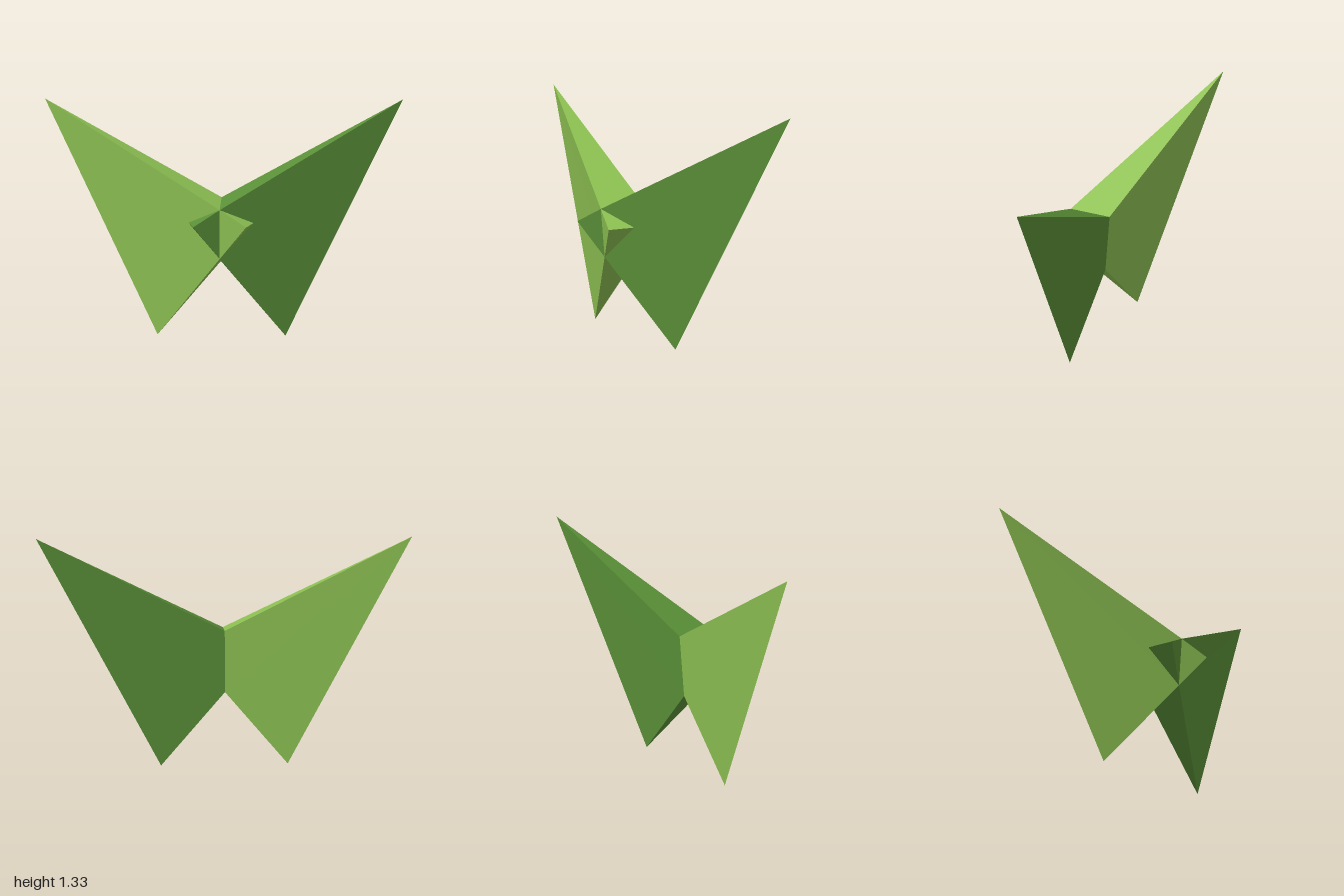
import * as THREE from 'three';

const V = (x, y, z) => new THREE.Vector3(x, y, z);

// Flat-faced solid from planar polygons, each turned to face away from the middle
function facetedMesh(name, polygons, material) {
  const corners = [...new Set(polygons.flat())];
  const middle = corners.reduce((sum, p) => sum.add(p), V(0, 0, 0)).divideScalar(corners.length);
  const points = [];
  for (const poly of polygons) {
    for (let i = 1; i < poly.length - 1; i++) {
      const [a, b, c] = [poly[0], poly[i], poly[i + 1]];
      const normal = b.clone().sub(a).cross(c.clone().sub(a));
      const outward = normal.dot(a.clone().sub(middle)) > 0;
      points.push(a, ...(outward ? [b, c] : [c, b]));
    }
  }
  const geometry = new THREE.BufferGeometry().setFromPoints(points);
  geometry.computeVertexNormals();
  const mesh = new THREE.Mesh(geometry, material);
  mesh.name = name;
  return mesh;
}

export function createModel() {
  const lightGreen = new THREE.MeshStandardMaterial({ color: 0x8dc152, flatShading: true });
  lightGreen.name = 'light green';
  const darkGreen = new THREE.MeshStandardMaterial({ color: 0x5a9038, flatShading: true });
  darkGreen.name = 'dark green';

  // Corners of the central seam shared by all parts
  const frontTop = V(0.06, 0.76, 0.24);
  const frontBottom = V(0.055, 0.485, 0.215);
  const backTop = V(0.02, 0.79, -0.02);
  const backBottom = V(0.022, 0.43, 0.01);

  // Wing: a wedge from the seam to an edge between an upper and a lower tip
  const wing = (name, upper, lower, material) => facetedMesh(name, [
    [upper, frontTop, frontBottom, lower],
    [upper, backTop, backBottom, lower],
    [upper, frontTop, backTop],
    [lower, frontBottom, backBottom],
  ], material);

  // Small fin: a tetrahedron on the front edge of the seam
  const fin = (name, front, back, material) => facetedMesh(name, [
    [frontTop, front, back],
    [frontBottom, front, back],
    [frontTop, frontBottom, front],
    [frontTop, frontBottom, back],
  ], material);

  const model = new THREE.Group();
  model.name = 'foldedButterfly';
  model.add(
    wing('rightWing', V(-1, 1.33, 0), V(-0.335, 0, 0.07), lightGreen),
    wing('leftWing', V(1, 1.33, -0.32), V(0.385, 0, -0.045), darkGreen),
    fin('rightFin', V(-0.07, 0.675, 0.318), V(-0.132, 0.675, 0.17), darkGreen),
    fin('leftFin', V(0.21, 0.675, 0.273), V(0.226, 0.675, 0.125), lightGreen),
  );
  return model;
}
